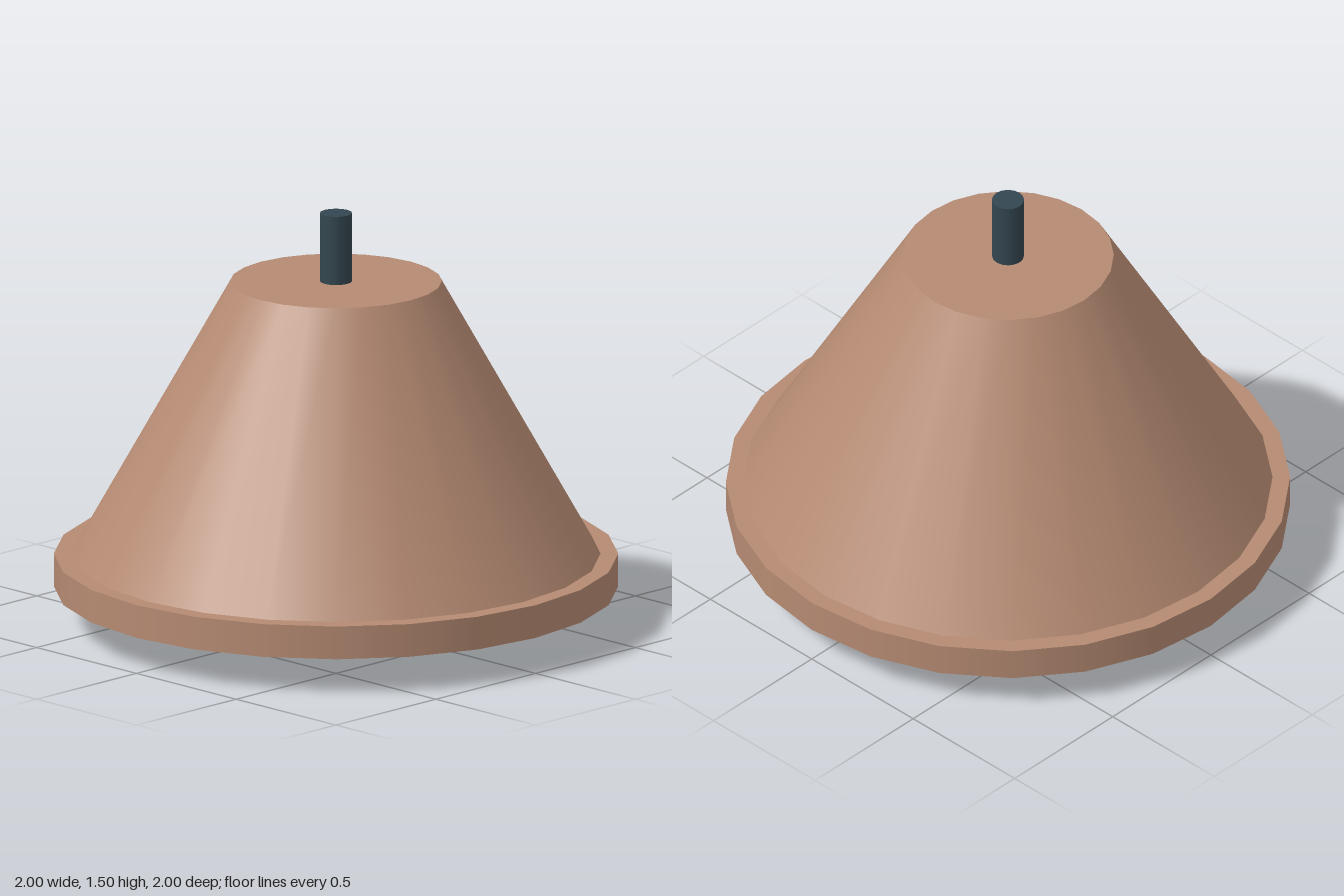
import * as THREE from 'three';

export function createModel() {
  const model = new THREE.Group();
  const copper = new THREE.MeshStandardMaterial({ color: 0xb58a72 });
  const dark = new THREE.MeshStandardMaterial({ color: 0x33464f });
  const cream = new THREE.MeshStandardMaterial({ color: 0xe8e0d0 });

  const add = (name, geometry, material, y) => {
    const mesh = new THREE.Mesh(geometry, material);
    mesh.name = name;
    mesh.position.y = y;
    model.add(mesh);
  };
  // Closed round part between two heights
  const round = (name, material, rTop, rBottom, y0, y1, sides = 24) =>
    add(name, new THREE.CylinderGeometry(rTop, rBottom, y1 - y0, sides), material, (y0 + y1) / 2);

  // Shade and its wider rim
  round('shade', copper, 0.375, 0.9375, 0.25, 1.25);
  round('rim', copper, 1, 1, 0.13, 0.25);

  // Hanging stem
  round('stem', dark, 0.057, 0.057, 1.25, 1.5, 16);

  // Diffuser disc and the bulb showing beneath it
  round('diffuser', cream, 0.523, 0.523, 0.09, 0.13);
  add('bulb', new THREE.SphereGeometry(0.14, 24, 16), cream, 0.14);

  return model;
}
